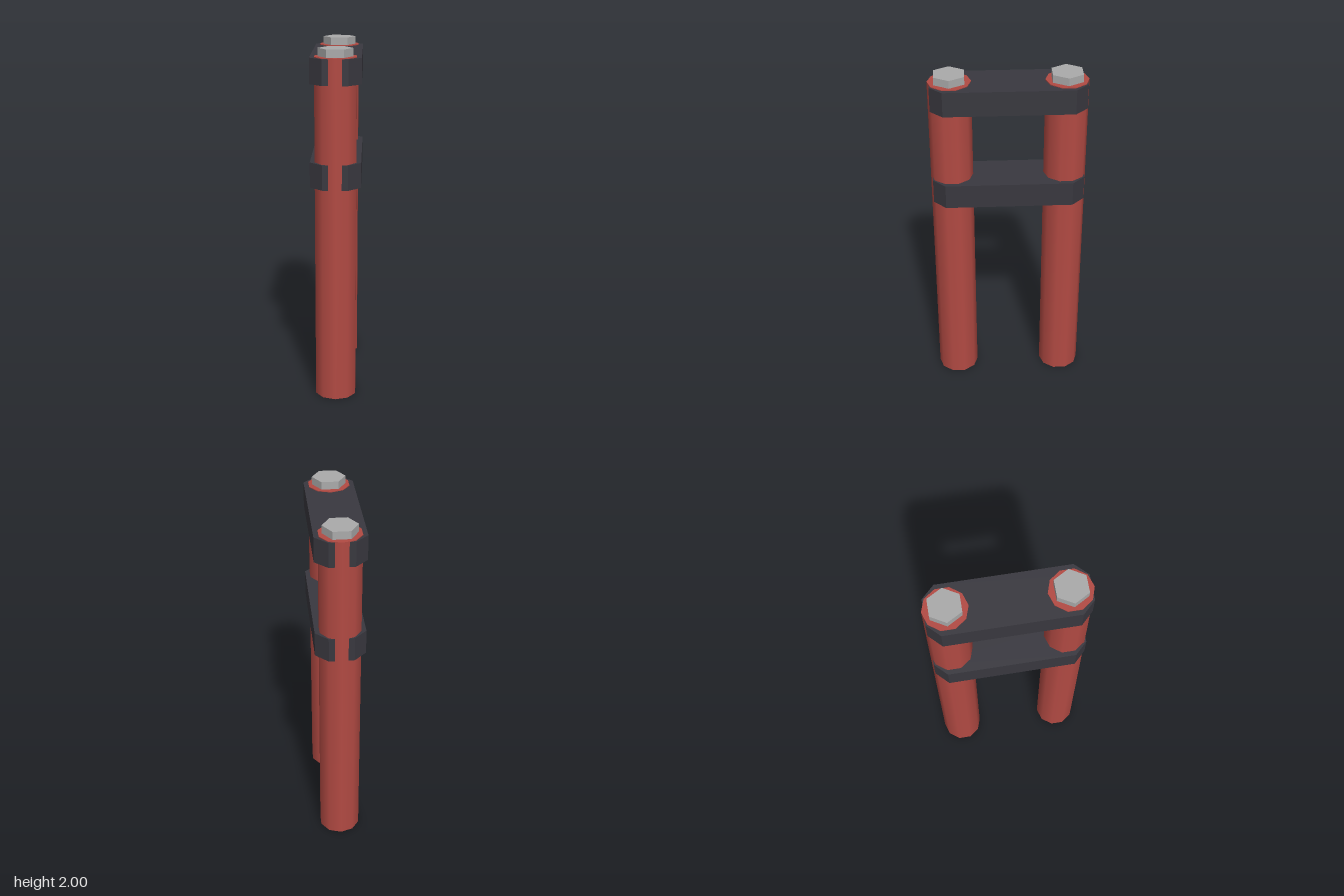
import * as THREE from 'three';

const TUBE_Z = 0.32;

export function createModel() {
  const red = new THREE.MeshStandardMaterial({ color: 0xb24a43 });
  red.name = 'red tube';
  const dark = new THREE.MeshStandardMaterial({ color: 0x39383f });
  dark.name = 'dark clamp';
  const grey = new THREE.MeshStandardMaterial({ color: 0xaaaaaa });
  grey.name = 'grey bolt';

  const model = new THREE.Group();
  model.name = 'twinTubeFork';

  const add = (name, geometry, material, y, z = 0) => {
    const mesh = new THREE.Mesh(geometry, material);
    mesh.name = name;
    mesh.position.set(0, y, z);
    model.add(mesh);
  };

  // Ten-sided smooth tubes, each capped with a faceted hexagonal bolt
  const tube = new THREE.CylinderGeometry(0.12, 0.12, 1.956, 10);
  const bolt = new THREE.CylinderGeometry(0.096, 0.096, 0.045, 6)
    .rotateY(Math.PI / 2)
    .toNonIndexed();
  bolt.computeVertexNormals();
  for (const [side, s] of [['front', 1], ['back', -1]]) {
    add(side + 'Tube', tube, red, 0.978, s * TUBE_Z);
    add(side + 'Bolt', bolt, grey, 1.9775, s * TUBE_Z);
  }

  // Chamfered clamp plates joining the tubes
  const w = 0.141, l = 0.428, c = 0.07;
  const outline = new THREE.Shape([
    [w, l - c], [w - c, l], [c - w, l], [-w, l - c],
    [-w, c - l], [c - w, -l], [w - c, -l], [w, c - l],
  ].map(([x, z]) => new THREE.Vector2(x, z)));
  const clamp = new THREE.ExtrudeGeometry(outline, { depth: 0.141, bevelEnabled: false })
    .rotateX(-Math.PI / 2);
  add('upperClamp', clamp, dark, 1.811);
  add('lowerClamp', clamp, dark, 1.241);

  return model;
}
